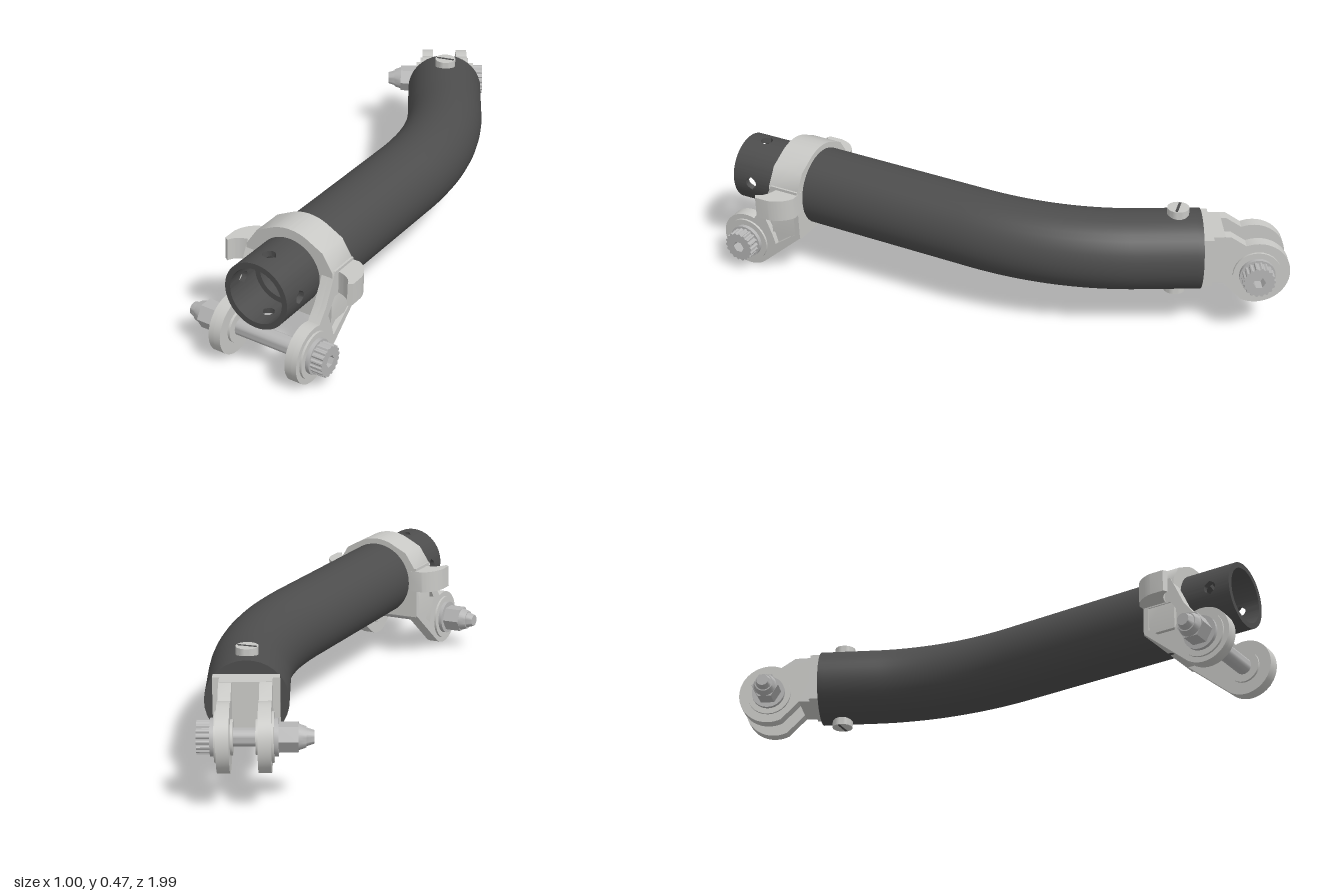
import * as THREE from 'three';
import { toCreasedNormals } from 'three/addons/utils/BufferGeometryUtils.js';

const mat = (name, color, side = THREE.FrontSide) => {
  const m = new THREE.MeshStandardMaterial({ color, side });
  m.name = name;
  return m;
};

export function createModel() {
  const dark = mat('dark tube', 0x4d4d4d, THREE.DoubleSide);
  const cast = mat('cast alloy', 0xc8c8c5);
  const steel = mat('bolt steel', 0xb6b6b6);
  const model = new THREE.Group();

  const add = (parent, name, geo, material, x = 0, y = 0, z = 0) => {
    const m = new THREE.Mesh(toCreasedNormals(geo, 0.6), material);
    m.name = name;
    m.position.set(x, y, z);
    parent.add(m);
    return m;
  };
  const extrude = (shape, depth) =>
    new THREE.ExtrudeGeometry(shape, { depth, bevelEnabled: false, curveSegments: 20 });
  // Plate drawn in the (z, y) plane, reaching from x0 to x0 + thickness
  const sidePlate = (shape, x0, thick) =>
    extrude(shape, thick).rotateY(-Math.PI / 2).translate(x0 + thick, 0, 0);
  // Round bar along x
  const bar = (r, x0, x1, seg = 28, r2 = r) =>
    new THREE.CylinderGeometry(r2, r, x1 - x0, seg).rotateZ(-Math.PI / 2).translate((x0 + x1) / 2, 0, 0);
  const poly = pts => pts.map(p => new THREE.Vector2(p[0], p[1]));
  const ngon = (n, r) => Array.from({ length: n }, (_, i) =>
    new THREE.Vector2(Math.cos(i / n * 2 * Math.PI) * r, Math.sin(i / n * 2 * Math.PI) * r));

  // Cross bolt through two lugs whose outer faces lie at x = +-h
  function crossBolt(parent, name, h, lug, y, z) {
    const g = new THREE.Group();
    g.name = name;
    g.position.set(0, y, z);
    parent.add(g);
    add(g, 'boltShaft', bar(0.03, -h - 0.11, h + 0.02, 24), steel);
    for (const s of [-1, 1]) {
      const ring = (n, r, a, b, m) => add(g, n, bar(r, Math.min(s * a, s * b), Math.max(s * a, s * b)), m);
      ring('outerBoss', 0.083, h, h + 0.008, cast);
      ring('outerWasher', 0.062, h + 0.008, h + 0.022, steel);
      ring('innerBoss', 0.058, h - lug - 0.009, h - lug, cast);
    }
    // Knurled head with hex socket
    const knurl = new THREE.Shape(Array.from({ length: 72 }, (_, i) => {
      const a = i / 72 * 2 * Math.PI, r = i % 4 < 2 ? 0.056 : 0.051;
      return new THREE.Vector2(Math.cos(a) * r, Math.sin(a) * r);
    }));
    knurl.holes.push(new THREE.Path(ngon(6, 0.022)));
    add(g, 'boltHead', extrude(knurl, 0.043).rotateY(Math.PI / 2), steel, h + 0.022);
    // Hex nut, collar and bolt tip
    add(g, 'nut', bar(0.05, -h - 0.085, -h - 0.022, 6), steel);
    add(g, 'nutCollar', bar(0.034, -h - 0.11, -h - 0.085, 24, 0.043), steel);
    add(g, 'boltTip', bar(0.022, -h - 0.135, -h - 0.11, 20, 0.03), steel);
  }

  // Main bent tube
  const A = new THREE.Vector3(0.34, 0.287, -0.695), B = new THREE.Vector3(0.34, 0.288, -0.46);
  const C = new THREE.Vector3(0.34, 0.294, -0.177), D = new THREE.Vector3(0.19, 0.299, 0.083);
  const E = new THREE.Vector3(-0.145, 0.307, 0.673);
  const path = new THREE.CurvePath();
  path.add(new THREE.LineCurve3(A, B));
  path.add(new THREE.QuadraticBezierCurve3(B, C, D));
  path.add(new THREE.LineCurve3(D, E));
  add(model, 'mainTube', new THREE.TubeGeometry(path, 64, 0.14, 36), dark);
  add(model, 'tubeEndCap', new THREE.CircleGeometry(0.14, 36).rotateY(Math.PI), dark, 0.34, 0.287, -0.695);

  // Slotted retaining screws above and below the tube's back end
  for (const s of [1, -1]) {
    const y = 0.287 + s * 0.148;
    add(model, 'retainingScrew', new THREE.CylinderGeometry(0.038, 0.038, 0.03, 28), cast, 0.34, y, -0.615);
    add(model, 'screwSlot', new THREE.BoxGeometry(0.066, 0.002, 0.009), dark, 0.34, y + s * 0.0152, -0.615)
      .rotation.y = -0.3;
  }

  // Back fork
  const fork = new THREE.Group();
  fork.name = 'backFork';
  fork.position.x = 0.34;
  model.add(fork);
  const lugShape = new THREE.Shape();
  lugShape.moveTo(-0.69, 0.2);
  lugShape.lineTo(-0.69, 0.38);
  lugShape.lineTo(-0.79, 0.378);
  lugShape.absarc(-0.885, 0.235, 0.115, 1.2, 5.15, false);
  lugShape.lineTo(-0.77, 0.2);
  for (const x of [-0.087, 0.045]) add(fork, 'forkLug', sidePlate(lugShape, x, 0.042), cast);
  add(fork, 'forkBridge', new THREE.BoxGeometry(0.17, 0.18, 0.08), cast, 0, 0.29, -0.73);
  add(fork, 'forkFlange', new THREE.BoxGeometry(0.22, 0.18, 0.035), cast, 0, 0.29, -0.712);
  crossBolt(fork, 'backBolt', 0.087, 0.042, 0.235, -0.885);

  // Front assembly, turned along the tube; its origin is the tube mouth
  const front = new THREE.Group();
  front.name = 'frontClamp';
  front.position.set(-0.27, 0.312, 0.89);
  front.rotation.set(0, -Math.PI / 6, -0.033);
  model.add(front);

  // Thin tube in two sleeves whose meeting edge opens into four round holes
  const zc = -0.075, hole = 0.022;
  for (const [y0, y1, dir] of [[zc, 0, 1], [-0.4, zc, -1]]) {
    const geo = new THREE.LatheGeometry(
      poly([[0.1, y0], [0.12, y0], [0.12, y1], [0.1, y1], [0.1, y0]]), 144);
    const p = geo.attributes.position;
    for (let i = 0; i < p.count; i++) {
      if (Math.abs(p.getY(i) - zc) > 1e-4) continue;
      const q = Math.PI / 2, a = Math.atan2(p.getX(i), p.getZ(i));
      const d = 0.12 * (a - Math.round(a / q) * q);
      p.setY(i, zc + dir * Math.sqrt(Math.max(0, hole * hole - d * d)));
    }
    add(front, 'tubeMouth', geo.rotateX(Math.PI / 2), dark);
  }
  const liner = new THREE.LatheGeometry(
    poly([[0.08, -0.38], [0.1, -0.38], [0.1, -0.14], [0.08, -0.14], [0.08, -0.38]]), 36);
  add(front, 'innerSleeve', liner.rotateX(Math.PI / 2), dark);
  add(front, 'innerFloor', new THREE.CircleGeometry(0.1, 36), dark, 0, 0, -0.37);

  // Clamp band around the tube
  const band = new THREE.Shape();
  band.moveTo(-0.168, -0.145);
  band.lineTo(0.168, -0.145);
  band.lineTo(0.168, 0.045);
  band.lineTo(0.128, 0.108);
  band.absarc(0, 0, 0.155, 1.1, Math.PI - 1.1, false);
  band.lineTo(-0.128, 0.108);
  band.lineTo(-0.168, 0.045);
  band.holes.push(new THREE.Path().absarc(0, 0, 0.119, 0, Math.PI * 2, true));
  add(front, 'clampBand', extrude(band, 0.12), cast, 0, 0, -0.31);

  // Arms: full inner layer, outer layer with a pocket
  const armShape = () => {
    const s = new THREE.Shape();
    s.moveTo(-0.31, 0.05);
    s.lineTo(-0.31, -0.14);
    s.absarc(-0.08, -0.205, 0.102, 3.95, 1.9 + 2 * Math.PI, false);
    s.lineTo(-0.15, -0.06);
    s.lineTo(-0.2, 0.05);
    return s;
  };
  const pocketed = armShape();
  pocketed.holes.push(new THREE.Path(
    poly([[-0.29, -0.045], [-0.2, -0.045], [-0.165, -0.1], [-0.19, -0.16], [-0.2, -0.195], [-0.29, -0.13]])));
  // Hooked ear, drawn in (x, -z)
  const earShape = s => {
    const e = new THREE.Shape();
    e.moveTo(s * 0.13, 0.31);
    e.lineTo(s * 0.195, 0.312);
    e.quadraticCurveTo(s * 0.24, 0.29, s * 0.25, 0.235);
    e.lineTo(s * 0.25, 0.185);
    e.lineTo(s * 0.235, 0.175);
    e.quadraticCurveTo(s * 0.22, 0.225, s * 0.13, 0.225);
    return e;
  };
  for (const s of [-1, 1]) {
    add(front, 'armInner', sidePlate(armShape(), s > 0 ? 0.127 : -0.153, 0.026), cast);
    add(front, 'armOuter', sidePlate(pocketed, s > 0 ? 0.153 : -0.172, 0.019), cast);
    add(front, 'clampEar', extrude(earShape(s), 0.08).rotateX(-Math.PI / 2), cast, 0, -0.04, 0);
    add(front, 'innerPin', bar(0.018, s > 0 ? 0.05 : -0.14, s > 0 ? 0.14 : -0.05, 20), cast, 0, 0, -0.25);
  }
  crossBolt(front, 'frontBolt', 0.172, 0.045, -0.205, -0.08);
  return model;
}
